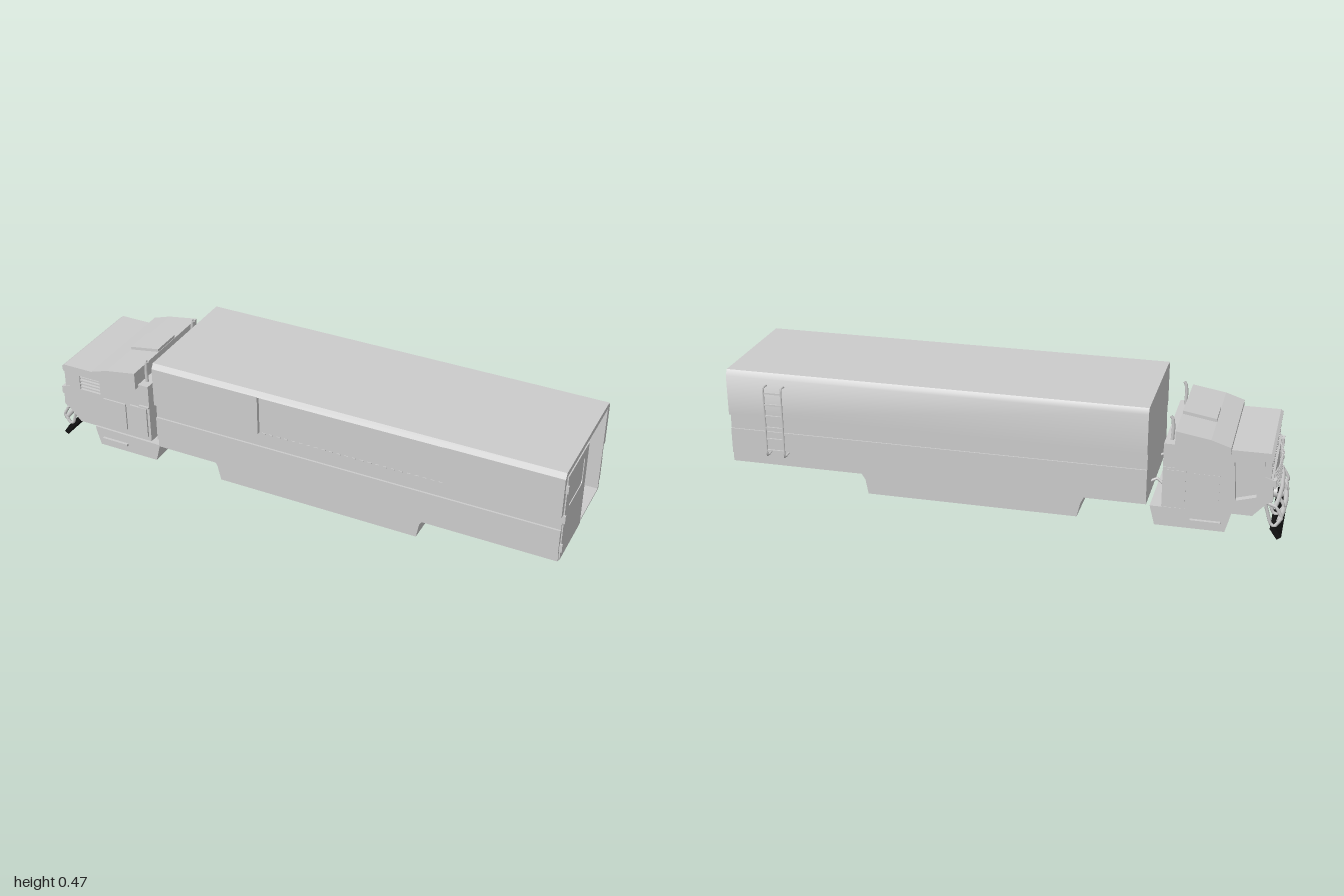
import * as THREE from 'three';
import { toCreasedNormals } from 'three/addons/utils/BufferGeometryUtils.js';

const grey = new THREE.MeshStandardMaterial({ color: 0xcccccc, side: THREE.DoubleSide });
const black = new THREE.MeshStandardMaterial({ color: 0x111111 });
const MID = 0.015; // z of the vehicle's centre line

export function createModel() {
  const model = new THREE.Group();

  const group = (name) => {
    const g = new THREE.Group();
    g.name = name;
    model.add(g);
    return g;
  };
  const add = (parent, name, geo, mat = grey) => {
    const m = new THREE.Mesh(geo, mat);
    m.name = name;
    parent.add(m);
    return m;
  };
  // box given by its limits
  const box = (parent, name, x0, x1, y0, y1, z0, z1, mat) => {
    const m = add(parent, name, new THREE.BoxGeometry(x1 - x0, y1 - y0, z1 - z0), mat);
    m.position.set((x0 + x1) / 2, (y0 + y1) / 2, (z0 + z1) / 2);
    return m;
  };
  const toShape = (pts, holes = []) => {
    const s = new THREE.Shape(pts.map((p) => new THREE.Vector2(...p)));
    s.holes = holes.map((h) => new THREE.Path(h.map((p) => new THREE.Vector2(...p))));
    return s;
  };
  const rect = (a0, a1, b0, b1) => [[a0, b0], [a1, b0], [a1, b1], [a0, b1]];
  // [x, y] profile extruded across the vehicle
  const acrossZ = (pts, z0, z1, holes) =>
    new THREE.ExtrudeGeometry(toShape(pts, holes), { depth: z1 - z0, bevelEnabled: false }).translate(0, 0, z0);
  // [z, y] section extruded along the vehicle
  const flip = (pts) => pts.map(([z, y]) => [-z, y]);
  const alongX = (pts, x0, x1, holes = []) =>
    new THREE.ExtrudeGeometry(toShape(flip(pts), holes.map(flip)), { depth: x1 - x0, bevelEnabled: false })
      .rotateY(Math.PI / 2).translate(x0, 0, 0);
  const tube = (parent, name, pts, r) => {
    const path = new THREE.CatmullRomCurve3(pts.map((p) => new THREE.Vector3(...p)), false, 'catmullrom', 0.1);
    return add(parent, name, new THREE.TubeGeometry(path, 24, r, 8));
  };

  // ---- Hollow cargo body, open at half of the rear ----
  const body = group('cargoBody');
  const F = -0.53, R = 0.99;
  const inside = rect(-0.2, 0.235, 0.115, 0.447);
  add(body, 'bodyShell', alongX([
    [0.243, 0.11], [0.243, 0.145], [0.25, 0.145], [0.25, 0.24], [0.243, 0.24], [0.243, 0.455],
    [-0.209, 0.455], [-0.209, 0.24], [-0.214, 0.24], [-0.214, 0.145], [-0.209, 0.145], [-0.209, 0.11],
  ], F, R, [inside]));
  add(body, 'frontWall', alongX(inside, F, F + 0.01));
  add(body, 'roofCap', toCreasedNormals(alongX([
    [0.257, 0.447], [0.245, 0.467], [-0.211, 0.467], [-0.223, 0.447], [-0.223, 0.297],
    [-0.209, 0.297], [-0.209, 0.45], [0.243, 0.45],
  ], F, R), 0.6));
  // upper side panels either side of the recessed shutter
  box(body, 'frontSidePanel', F, -0.11, 0.297, 0.448, 0.24, 0.257);
  box(body, 'rearSidePanel', 0.58, R, 0.297, 0.448, 0.24, 0.257);
  for (let i = 0; i < 24; i++) {
    const x = -0.1 + i * 0.0288;
    box(body, 'shutterHinge', x, x + 0.014, 0.294, 0.298, 0.24, 0.246);
  }

  // rear door with a rounded window
  const win = [];
  for (let i = 0; i < 16; i++) {
    const q = Math.floor(i / 4), a = (q + (i % 4) / 3) * Math.PI / 2;
    const cz = 0.1265 + (q === 0 || q === 3 ? 0.0585 : -0.0585);
    const cy = 0.36 + (q < 2 ? 0.04 : -0.04);
    win.push([cz + 0.015 * Math.cos(a), cy + 0.015 * Math.sin(a)]);
  }
  const door = group('rearDoor');
  add(door, 'doorLeaf', alongX(rect(0.018, 0.236, 0.113, 0.447), 0.984, 0.994, [win]));
  add(door, 'doorWindow', alongX(win, 0.985, 0.991));
  for (const y of [0.165, 0.282, 0.4]) box(door, 'doorHinge', 0.985, 1, y - 0.015, y + 0.015, 0.236, 0.243);

  // ladder on the right-hand wall
  const ladder = group('ladder');
  for (const x of [0.772, 0.838]) {
    tube(ladder, 'ladderRail', [[x, 0.165, -0.21], [x, 0.165, -0.252], [x, 0.295, -0.252],
      [x, 0.423, -0.252], [x, 0.423, -0.22]], 0.0035);
  }
  for (let i = 0; i < 6; i++) {
    const y = 0.185 + i * 0.044;
    box(ladder, 'ladderRung', 0.772, 0.838, y - 0.003, y + 0.003, -0.255, -0.249);
  }

  // ---- Underside ----
  const under = group('underside');
  add(under, 'bellySkirt', acrossZ([
    [-0.315, 0.111], [-0.298, 0.08], [-0.285, 0.025], [0.482, 0.025], [0.492, 0.08], [0.512, 0.111],
  ], -0.19, 0.223));
  box(under, 'frontUnderPlate', -0.51, -0.325, 0.098, 0.112, -0.123, 0.157);
  box(under, 'rearUnderPlate', 0.52, 0.83, 0.098, 0.112, -0.123, 0.157);

  // ---- Cab ----
  const cab = group('cab');
  const profile = [
    [-0.58, 0.1], [-0.58, 0.335], [-0.94, 0.335], [-0.95, 0.328], [-0.948, 0.308], [-0.92, 0.303],
    [-0.925, 0.248], [-0.952, 0.238], [-0.955, 0.16], [-0.935, 0.15], [-0.89, 0.1],
  ];
  add(cab, 'cabCore', acrossZ(profile, -0.165, 0.19));
  add(cab, 'leftCabSide', acrossZ(profile, 0.19, 0.215, [rect(-0.878, -0.79, 0.245, 0.302)]));
  add(cab, 'rightCabSide', acrossZ(profile, -0.19, -0.165, [
    [[-0.9, 0.17], [-0.83, 0.15], [-0.82, 0.29], [-0.83, 0.302], [-0.89, 0.302]],
  ]));
  // window slats and corner posts
  for (let i = 0; i < 4; i++) {
    const y = 0.254 + i * 0.0135;
    box(cab, 'sideWindowSlat', -0.878, -0.79, y - 0.003, y + 0.003, 0.2, 0.213);
    box(cab, 'windscreenSlat', -0.945, -0.918, y - 0.0025, y + 0.0025, -0.17, 0.195);
  }
  for (const z of [-0.178, -0.06, 0.09, 0.203]) {
    box(cab, 'windscreenPost', -0.945, -0.915, 0.24, 0.31, z - 0.008, z + 0.008);
  }
  // roof fairing and hatch
  add(cab, 'roofFairing', acrossZ(
    [[-0.808, 0.325], [-0.808, 0.35], [-0.74, 0.372], [-0.62, 0.392], [-0.62, 0.325]], -0.21, 0.235));
  add(cab, 'roofHatch', acrossZ(
    [[-0.74, 0.365], [-0.74, 0.383], [-0.622, 0.403], [-0.622, 0.38]], -0.05, 0.065));
  // lower cab box with side steps
  add(cab, 'lowerBox', acrossZ(
    [[-0.82, 0.102], [-0.812, 0.07], [-0.8, 0.028], [-0.558, 0.028], [-0.54, 0.098]], -0.19, 0.223));

  // parts repeated on both sides
  for (const s of [1, -1]) {
    const at = (d) => MID + s * d;
    const slab = (name, x0, x1, y0, y1, d0, d1) =>
      box(cab, name, x0, x1, y0, y1, Math.min(at(d0), at(d1)), Math.max(at(d0), at(d1)));
    slab('sideStep', -0.785, -0.68, 0.055, 0.065, 0.2, 0.218);
    slab('doorPanel', -0.775, -0.68, 0.125, 0.235, 0.195, 0.206);
    slab('sideLocker', -0.66, -0.59, 0.12, 0.24, 0.195, 0.207);
    slab('rainStrip', -0.62, -0.58, 0.243, 0.25, 0.195, 0.208);
    slab('frontCornerLamp', -0.962, -0.945, 0.205, 0.235, 0.17, 0.198);
    tube(cab, 'exhaustStack', [[-0.602, 0.32, at(0.165)], [-0.605, 0.38, at(0.165)],
      [-0.602, 0.41, at(0.165)], [-0.596, 0.42, at(0.165)]], 0.006);
    tube(cab, 'airHose', [[-0.59, 0.155, at(0.115)], [-0.57, 0.146, at(0.115)],
      [-0.55, 0.16, at(0.112)], [-0.525, 0.148, at(0.115)]], 0.005);
    const lamp = add(cab, 'headlamp', new THREE.CylinderGeometry(0.018, 0.018, 0.02, 20));
    lamp.rotation.z = Math.PI / 2;
    lamp.position.set(-0.956, 0.178, at(0.16));
  }

  // ---- Front guard, bumper and blade ----
  const front = group('frontGuard');
  const bowed = (x, y, half, bow) => [-1, -0.6, 0, 0.6, 1].map((t) => [x - bow * (1 - t * t), y, MID + t * half]);
  for (let i = 0; i < 6; i++) tube(front, 'grilleBar', bowed(-0.953, 0.168 + i * 0.013, 0.13, 0.014), 0.003);
  for (let i = 0; i < 9; i++) {
    const t = i / 4 - 1, x = -0.953 - 0.014 * (1 - t * t), z = MID + t * 0.13;
    box(front, 'grilleUpright', x - 0.003, x + 0.003, 0.163, 0.24, z - 0.002, z + 0.002);
  }
  tube(front, 'upperBumperTube', bowed(-0.962, 0.125, 0.17, 0.012), 0.008);
  tube(front, 'lowerBumperTube', bowed(-0.978, 0.075, 0.17, 0.012), 0.009);
  for (const d of [-0.165, -0.07, 0.07, 0.165]) {
    const z = MID + d;
    tube(front, 'bumperBracket', [[-0.92, 0.14, z], [-0.965, 0.124, z], [-0.988, 0.085, z],
      [-0.965, 0.05, z], [-0.95, 0.06, z], [-0.93, 0.13, z]], 0.006);
  }
  const blade = box(front, 'blade', -0.975, -0.957, 0, 0.046, -0.15, 0.19, black);
  blade.rotation.z = -0.6;
  blade.position.set(-0.97, 0.0241, 0.02);

  return model;
}
